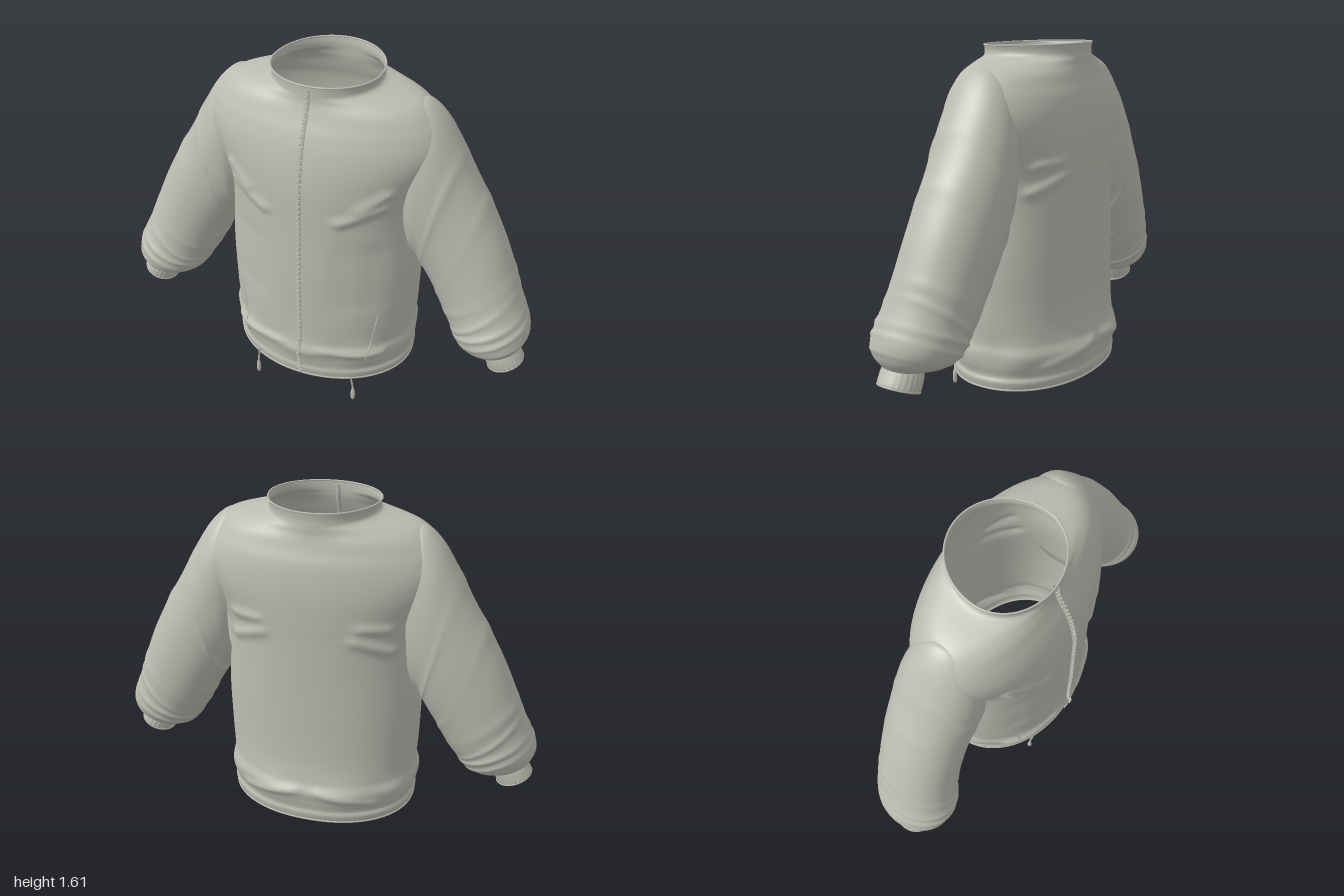
import * as THREE from 'three';
import { mergeGeometries } from 'three/addons/utils/BufferGeometryUtils.js';

const fabric = new THREE.MeshStandardMaterial({ color: 0xbdbcb2, side: THREE.DoubleSide });
fabric.name = 'warm grey fabric';

// Smooth interpolation of rows whose first column is the key
function sample(rows, k) {
  let i = 0;
  while (i < rows.length - 2 && k > rows[i + 1][0]) i++;
  const a = rows[i], b = rows[i + 1], p = rows[Math.max(0, i - 1)], n = rows[Math.min(rows.length - 1, i + 2)];
  const h = b[0] - a[0], t = (k - a[0]) / h, t2 = t * t, t3 = t2 * t;
  return a.map((v, c) => {
    const m0 = (b[c] - p[c]) / (b[0] - p[0]) * h, m1 = (n[c] - v) / (n[0] - a[0]) * h;
    return (2 * t3 - 3 * t2 + 1) * v + (t3 - 2 * t2 + t) * m0 + (3 * t2 - 2 * t3) * b[c] + (t3 - t2) * m1;
  });
}

// Closed-section loft: point(u, angle) with u from 0 to 1
function loft(point, rows, segs) {
  const pos = [], idx = [];
  for (let i = 0; i <= rows; i++)
    for (let j = 0; j < segs; j++) pos.push(...point(i / rows, j / segs * Math.PI * 2));
  for (let i = 0; i < rows; i++)
    for (let j = 0; j < segs; j++) {
      const a = i * segs + j, b = i * segs + (j + 1) % segs;
      idx.push(a, a + segs, b, b, a + segs, b + segs);
    }
  const g = new THREE.BufferGeometry();
  g.setAttribute('position', new THREE.Float32BufferAttribute(pos, 3));
  g.setIndex(idx);
  g.computeVertexNormals();
  return g;
}

const bump = (d, w) => Math.exp(-d * d / (w * w));
const power = (v, e) => Math.sign(v) * Math.abs(v) ** e;

// Height, half width, front depth, back depth; the shoulders spread out above the armpits
const torsoRows = [
  [0.13, 0.44, 0.335, 0.335], [0.17, 0.448, 0.34, 0.343], [0.19, 0.44, 0.336, 0.338],
  [0.24, 0.452, 0.343, 0.348], [0.29, 0.455, 0.354, 0.356], [0.34, 0.445, 0.342, 0.336],
  [0.45, 0.45, 0.338, 0.318], [0.7, 0.453, 0.334, 0.312], [0.95, 0.44, 0.325, 0.312],
  [1.05, 0.446, 0.322, 0.313], [1.15, 0.48, 0.317, 0.315], [1.25, 0.527, 0.303, 0.314],
  [1.33, 0.543, 0.284, 0.307], [1.4, 0.522, 0.26, 0.295], [1.45, 0.488, 0.238, 0.278],
  [1.49, 0.448, 0.222, 0.267], [1.515, 0.41, 0.214, 0.262], [1.53, 0.355, 0.211, 0.261],
  [1.54, 0.3, 0.21, 0.26], [1.55, 0.25, 0.209, 0.259], [1.57, 0.235, 0.208, 0.257],
  [1.6, 0.24, 0.208, 0.26],
];

// Cloth folds: x0, y0, x1, y1, width, height
const frontFolds = [
  [0.33, 1.1, 0.17, 1.03, 0.026, 0.013], [0.35, 1.17, 0.25, 1.1, 0.024, 0.012],
  [0.31, 0.85, 0.31, 0.6, 0.06, -0.006], [0.2, 0.85, 0.2, 0.6, 0.06, -0.005],
  [0.1, 0.31, 0.36, 0.29, 0.02, 0.008],
];
const backFolds = [
  [0.34, 1.01, 0.2, 1.07, 0.026, 0.012], [0.33, 1.12, 0.22, 1.13, 0.024, 0.01],
  [0.05, 0.3, 0.3, 0.24, 0.022, 0.008],
];
function foldHeight(x, y, front) {
  let d = 0;
  for (const [x0, y0, x1, y1, w, h] of front ? frontFolds : backFolds) {
    const dx = x1 - x0, dy = y1 - y0, ax = Math.abs(x);
    const t = THREE.MathUtils.clamp(((ax - x0) * dx + (y - y0) * dy) / (dx * dx + dy * dy), 0, 1);
    d += h * bump(Math.hypot(ax - x0 - dx * t, y - y0 - dy * t), w);
  }
  return d;
}

function torsoPoint(y, a) {
  const [, hw, zf, zb] = sample(torsoRows, y);
  const front = Math.sin(a) > 0;
  const e = 2 / (2 + (front ? 0 : 0.15 * THREE.MathUtils.smoothstep(1.5 - y, 0, 0.3)) - 0.25 * bump(y - 1.522, 0.025));
  const x = hw * power(Math.cos(a), e), z = power(Math.sin(a), e) * (front ? zf : zb);
  const k = 1 + (foldHeight(x, y, front) + 0.004 * Math.sin(a * 9) * bump(y - 0.28, 0.07)) / 0.34;
  const tilt = -0.03 * z * THREE.MathUtils.smoothstep(y, 1.5, 1.6);
  return [x * k, y + tilt, z * k];
}

// Point on the front of the torso at a given x
function frontPoint(x, y, lift = 0) {
  let lo = 0, hi = Math.PI / 2;
  for (let i = 0; i < 30; i++) {
    const m = (lo + hi) / 2;
    if (torsoPoint(y, m)[0] > Math.abs(x)) lo = m; else hi = m;
  }
  const p = torsoPoint(y, lo);
  return new THREE.Vector3(x, p[1], p[2] + lift);
}

// Step, outer edge x y, inner edge x y, z centre, z half depth
const sleeveRows = [
  [1, 0.38, 1.505, 0.41, 0.8, -0.02, 0.165], [2, 0.435, 1.508, 0.43, 0.77, -0.02, 0.185],
  [3, 0.505, 1.447, 0.45, 0.75, -0.023, 0.192], [4, 0.575, 1.34, 0.47, 0.71, -0.026, 0.192],
  [5, 0.65, 1.205, 0.5, 0.66, -0.028, 0.19], [6, 0.73, 1.07, 0.53, 0.61, -0.025, 0.188],
  [7, 0.815, 0.91, 0.56, 0.55, -0.018, 0.186], [8, 0.88, 0.76, 0.6, 0.48, -0.008, 0.186],
  [9, 0.92, 0.66, 0.63, 0.435, 0.005, 0.188], [10, 0.96, 0.57, 0.65, 0.4, 0.017, 0.192],
  [11, 0.988, 0.5, 0.685, 0.37, 0.027, 0.183], [12, 0.982, 0.437, 0.742, 0.353, 0.038, 0.148],
  [13, 0.955, 0.388, 0.797, 0.35, 0.048, 0.088],
];
const cuffRows = [
  [0, 0.952, 0.392, 0.8, 0.352, 0.05, 0.084], [0.25, 0.962, 0.375, 0.802, 0.33, 0.05, 0.09],
  [0.9, 0.986, 0.332, 0.828, 0.266, 0.05, 0.09], [1, 0.982, 0.328, 0.832, 0.263, 0.05, 0.086],
];
// Wrinkles around the sleeve: step, slant, width, height
const sleeveFolds = [
  [4.1, 0.3, 0.22, 0.025], [6.2, -0.3, 0.22, 0.018], [7.9, 0.25, 0.22, 0.02], [8.9, -0.15, 0.2, 0.035],
  [9.7, 0.15, 0.2, 0.04], [10.5, -0.1, 0.2, 0.035], [11.4, 0.05, 0.2, 0.025],
];
function sleevePoint(rows, t, a, side, folds) {
  const [, ox, oy, ix, iy, zc, zh] = sample(rows, t);
  let k = 1;
  for (const [ft, slant, w, h] of folds)
    k += h * bump(t - ft - slant * Math.cos(a), w) * (0.6 + 0.4 * Math.cos(2 * a + ft));
  const e = rows === sleeveRows ? 2 / (2.2 - 0.015 * t) : 1;
  const c = power(Math.cos(a), e) * k / 2, s = power(Math.sin(a), e) * k;
  return [side * ((ox + ix) / 2 + (ox - ix) * c), (oy + iy) / 2 + (oy - iy) * c, zc + zh * s];
}

// Piped edge around an opening
function rim(point, radius) {
  const pts = [];
  for (let i = 0; i < 40; i++) pts.push(new THREE.Vector3(...point(i / 40 * Math.PI * 2)));
  return new THREE.TubeGeometry(new THREE.CatmullRomCurve3(pts, true), 80, radius, 6, true);
}
const cord = (pts, r, n = 24) => new THREE.TubeGeometry(new THREE.CatmullRomCurve3(pts), n, r, 6);

export function createModel() {
  const jacket = new THREE.Group();
  jacket.name = 'jacket';
  const add = (name, geometry) => {
    const mesh = new THREE.Mesh(geometry, fabric);
    mesh.name = name;
    jacket.add(mesh);
    return mesh;
  };

  // Body with shoulders and collar, and its openings
  add('body', loft((u, a) => torsoPoint(0.13 + 1.47 * u, a), 240, 128));
  add('collarEdge', rim(a => torsoPoint(1.598, a), 0.004));
  add('hemEdge', rim(a => torsoPoint(0.134, a), 0.005));

  // Zip: tape down the front with a row of teeth
  const zipLine = [];
  for (let i = 0; i <= 30; i++) zipLine.push(frontPoint(0, 0.14 + 1.44 * i / 30, -0.003));
  add('zipTape', cord(zipLine, 0.011, 90));
  const teeth = [];
  for (let i = 0; i < 110; i++) {
    const p = frontPoint(0, 0.145 + 1.43 * i / 110, 0.006);
    teeth.push(new THREE.BoxGeometry(0.014, 0.007, 0.008).translate(i % 2 ? 0.003 : -0.003, p.y, p.z));
  }
  add('zipTeeth', mergeGeometries(teeth));

  for (const side of [1, -1]) {
    const label = side > 0 ? 'left' : 'right';
    // Sleeve and cuff
    add(label + 'Sleeve', loft((u, a) => sleevePoint(sleeveRows, 1 + u * 12, a, side, sleeveFolds), 130, 72));
    add(label + 'Cuff', loft((u, a) => {
      const p = sleevePoint(cuffRows, u, a, side, []);
      p[2] += 0.0015 * Math.sin(a * 24);
      return p;
    }, 10, 96));
    add(label + 'CuffEdge', rim(a => sleevePoint(cuffRows, 0.97, a, side, []), 0.005));

    // Pocket welt
    const welt = [];
    for (let i = 0; i <= 8; i++) welt.push(frontPoint(side * (0.3 + 0.005 * i), 0.24 + 0.035 * i));
    add(label + 'PocketWelt', cord(welt, 0.004));

    // Drawstring and toggle at the hem
    const v = (x, y, z) => new THREE.Vector3(side * x, y, z);
    add(label + 'Drawstring', cord([v(0.238, 0.16, 0.295), v(0.243, 0.12, 0.29), v(0.25, 0.07, 0.288)], 0.005));
    const toggle = [[0.001, 0], [0.008, 0.004], [0.011, 0.02], [0.01, 0.05], [0.006, 0.07], [0.001, 0.075]];
    add(label + 'Toggle', new THREE.LatheGeometry(toggle.map(p => new THREE.Vector2(...p)), 12))
      .position.set(side * 0.25, 0, 0.288);
  }
  return jacket;
}
